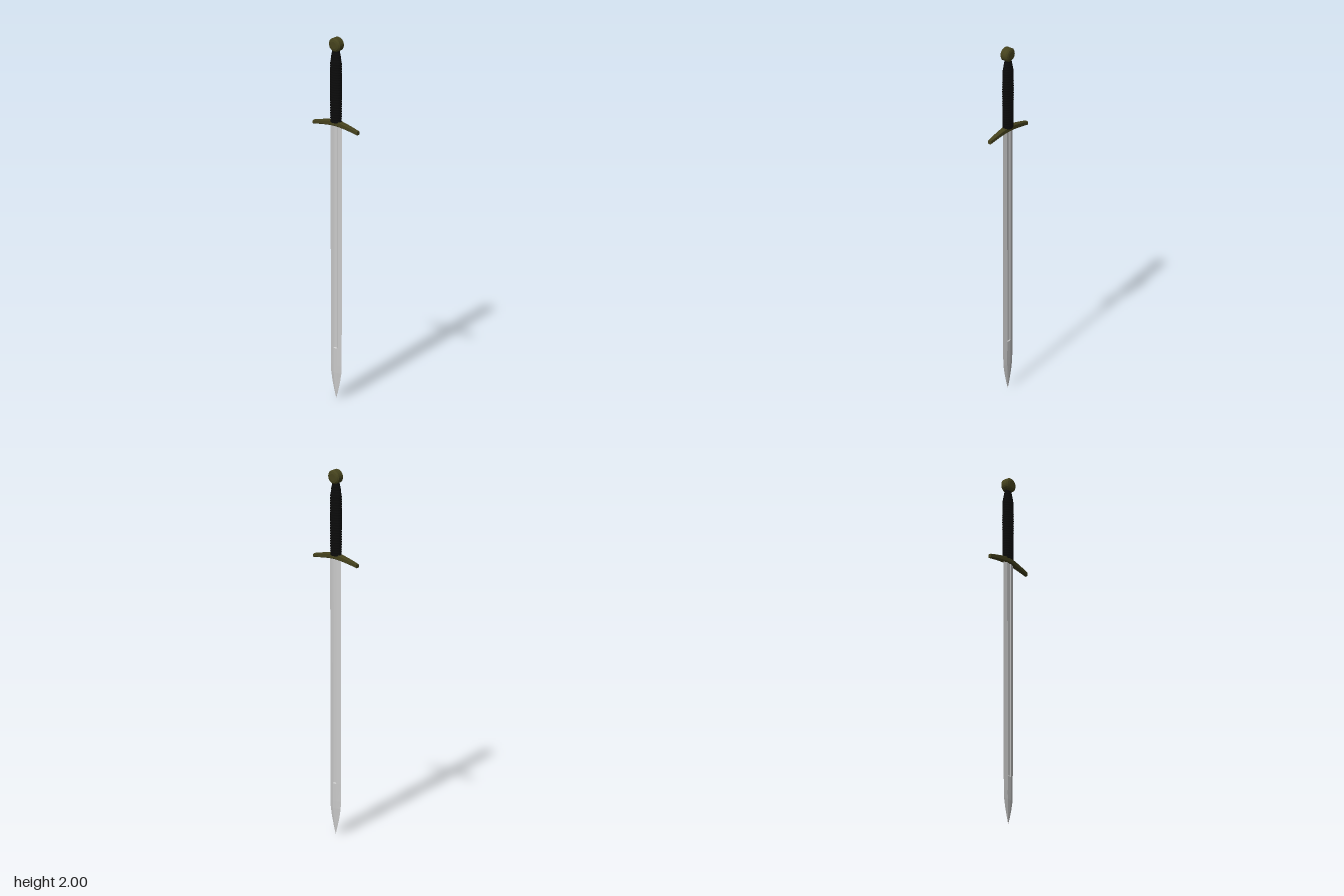
import * as THREE from 'three';

const steel = new THREE.MeshStandardMaterial({ color: 0xcccccc, flatShading: true });
const bronze = new THREE.MeshStandardMaterial({ color: 0x45421d, flatShading: true });
const leather = new THREE.MeshStandardMaterial({ color: 0x0b0b0b });

// Skin a list of equal-length rings of [x, y, z] points, capping both ends
function loft(rings) {
  const n = rings[0].length, last = (rings.length - 1) * n, index = [];
  for (let i = 0; i < rings.length - 1; i++) {
    for (let j = 0; j < n; j++) {
      const a = i * n + j, b = i * n + (j + 1) % n;
      index.push(a, b, b + n, a, b + n, a + n);
    }
  }
  for (let j = 1; j < n - 1; j++) index.push(0, j + 1, j, last, last + j, last + j + 1);
  const geo = new THREE.BufferGeometry();
  geo.setAttribute('position', new THREE.Float32BufferAttribute(rings.flat(2), 3));
  geo.setIndex(index);
  const flat = geo.toNonIndexed();
  flat.computeVertexNormals();
  return flat;
}

function add(group, name, geo, material) {
  const mesh = new THREE.Mesh(geo, material);
  mesh.name = name;
  group.add(mesh);
  return mesh;
}

// Blade cross-section: sharp edges, flat shoulders and a fuller of given depth
function bladeRing(y, halfWidth, halfThick, depth) {
  const w = halfWidth, t = halfThick, f = w * 0.36, g = w * 0.22;
  const side = [[w, 0], [f, t], [g, t - depth], [-g, t - depth], [-f, t]];
  return [...side, ...side.map(([z, x]) => [-z, -x])].map(([z, x]) => [x, y, z]);
}

export function createModel() {
  const sword = new THREE.Group();
  sword.name = 'sword';

  // Blade with a curved point and a fuller that stops short of it
  const blade = add(sword, 'blade', loft([
    bladeRing(0, 0.0005, 0.0005, 0),
    bladeRing(0.04, 0.013, 0.003, 0),
    bladeRing(0.09, 0.026, 0.005, 0),
    bladeRing(0.14, 0.035, 0.007, 0),
    bladeRing(0.18, 0.037, 0.0075, 0),
    bladeRing(0.275, 0.0375, 0.008, 0),
    bladeRing(0.28, 0.0375, 0.008, 0.004),
    bladeRing(1.525, 0.039, 0.008, 0.004),
  ]), steel);
  blade.position.z = 0.002;

  // Crossguard: drooping arms that narrow toward the ends
  const guardRings = [];
  for (let i = 0; i <= 16; i++) {
    const z = -0.152 + 0.304 * i / 16, s = Math.abs(z) / 0.152;
    const y = 1.526 - 0.026 * Math.pow(s, 1.4);
    const w = 0.017 - 0.007 * s, h = 0.015 - 0.005 * s, c = 0.75;
    guardRings.push([
      [w, -h * c], [w, h * c], [w * c, h], [-w * c, h],
      [-w, h * c], [-w, -h * c], [-w * c, -h], [w * c, -h],
    ].map(([x, dy]) => [x, y + dy, z]));
  }
  add(sword, 'crossguard', loft(guardRings), bronze);

  // Grip: oval handle with fine wrapped ridges, narrowing to the neck
  const outline = [[1.53, 0.033], [1.6, 0.034], [1.75, 0.035], [1.86, 0.034], [1.9, 0.027], [1.945, 0.017]];
  const radiusAt = (y) => {
    const k = Math.max(1, outline.findIndex((p) => p[0] >= y));
    const [y0, r0] = outline[k - 1], [y1, r1] = outline[k];
    return THREE.MathUtils.lerp(r0, r1, (y - y0) / (y1 - y0));
  };
  const wraps = 30, profile = [];
  for (let i = 0; i <= wraps * 4; i++) {
    const y = 1.53 + 0.4149 * i / (wraps * 4);
    profile.push(new THREE.Vector2(radiusAt(y) - 0.0015 * Math.cos(Math.PI * i / 2) * 0.7, y));
  }
  const grip = add(sword, 'grip', new THREE.LatheGeometry(profile, 24), leather);
  grip.scale.x = 0.74;

  // Pommel: bevelled disc lying across the blade's flat
  const disc = [[0, -0.026], [0.02, -0.026], [0.031, -0.023], [0.038, -0.016],
    [0.038, 0.016], [0.031, 0.023], [0.02, 0.026], [0, 0.026]];
  const pommel = add(sword, 'pommel',
    new THREE.LatheGeometry(disc.map(([r, y]) => new THREE.Vector2(r, y)), 24), bronze);
  pommel.rotation.z = Math.PI / 2;
  pommel.position.set(0, 1.962, 0.003);

  return sword;
}
